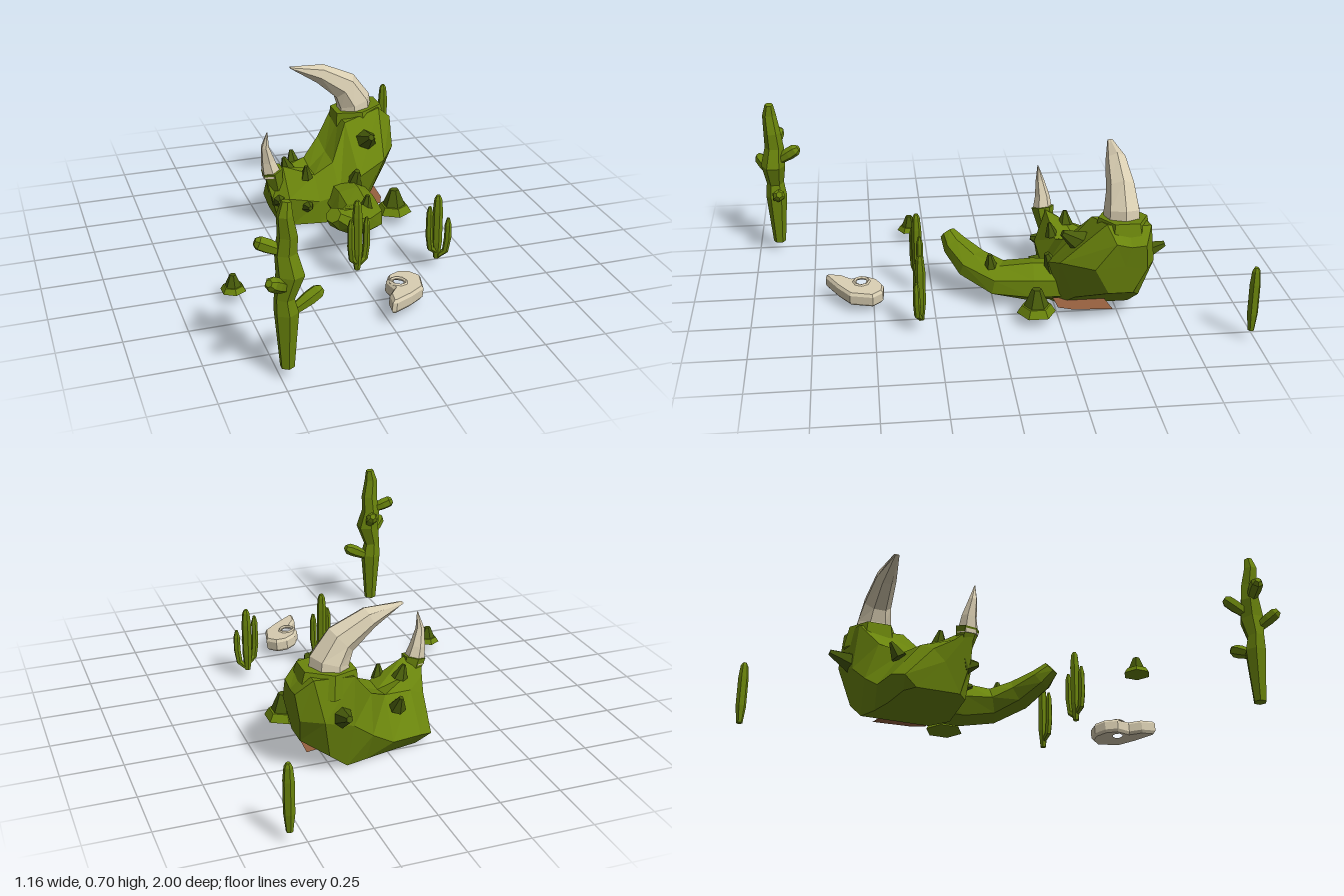
import * as THREE from 'three';

const V = (x, y, z) => new THREE.Vector3(x, y, z);

export function createModel() {
  const group = new THREE.Group();
  const mat = (name, color) => Object.assign(new THREE.MeshStandardMaterial({ color }), { name });
  const green = mat('moss green', 0x6a840c);
  const darkGreen = mat('dark moss green', 0x485c0a);
  const bone = mat('bone', 0xd8cdb1);
  const clay = mat('clay brown', 0x96603f);
  clay.side = THREE.DoubleSide;

  function add(name, geometry, material, parent = group) {
    const g = geometry.index ? geometry.toNonIndexed() : geometry;
    g.computeVertexNormals(); // faceted
    const mesh = new THREE.Mesh(g, material);
    mesh.name = name;
    parent.add(mesh);
    return mesh;
  }

  // Joins rings of points into a closed solid, turned so its faces look outward
  function loft(rings) {
    const tris = [];
    const n = rings[0].length;
    for (let i = 0; i < rings.length - 1; i++)
      for (let j = 0; j < n; j++) {
        const k = (j + 1) % n;
        const [a, b, c, d] = [rings[i][j], rings[i][k], rings[i + 1][k], rings[i + 1][j]];
        tris.push([a, b, c], [a, c, d]);
      }
    const cap = (ring, flip) => {
      const m = ring.reduce((s, p) => s.add(p), V(0, 0, 0)).divideScalar(n);
      ring.forEach((p, j) => {
        const q = ring[(j + 1) % n];
        tris.push(flip ? [m, q, p] : [m, p, q]);
      });
    };
    cap(rings[0], true);
    cap(rings[rings.length - 1], false);
    const volume = tris.reduce((s, [a, b, c]) => s + a.dot(b.clone().cross(c)), 0);
    const pos = tris.flatMap(([a, b, c]) => (volume < 0 ? [a, c, b] : [a, b, c]));
    return new THREE.BufferGeometry().setFromPoints(pos);
  }

  // Sweeps an ellipse along stations [x, y, z, half width, half depth]
  function sweep(stations, sides, ref = V(0, 0, 1)) {
    const pts = stations.map((s) => V(s[0], s[1], s[2]));
    return loft(stations.map((s, i) => {
      const t = pts[Math.min(i + 1, pts.length - 1)].clone().sub(pts[Math.max(i - 1, 0)]).normalize();
      const u = ref.clone().cross(t).normalize();
      const w = t.clone().cross(u);
      return Array.from({ length: sides }, (_, j) => {
        const a = ((j + 0.5) / sides) * Math.PI * 2;
        return pts[i].clone().addScaledVector(u, Math.cos(a) * s[3]).addScaledVector(w, Math.sin(a) * (s[4] ?? s[3]));
      });
    }));
  }

  // Saddle-shaped body; each section runs over the top from lower front to lower back
  // [x low, x front, x back, y low, y front, y back, z low, z mid, z top front, z top back, z back, back bulge height]
  const sections = [
    [-0.18, -0.25, -0.2, 0.005, 0.27, 0.17, -0.27, -0.24, -0.24, -0.39, -0.5, 0.25],
    [-0.13, -0.16, -0.13, 0.005, 0.28, 0.21, -0.23, -0.21, -0.26, -0.42, -0.535, 0.3],
    [0.0, -0.01, -0.01, 0.0, 0.21, 0.225, -0.22, -0.22, -0.28, -0.45, -0.555, 0.3],
    [0.1, 0.08, 0.08, 0.0, 0.25, 0.285, -0.21, -0.22, -0.3, -0.53, -0.58, 0.45],
    [0.19, 0.17, 0.17, 0.005, 0.39, 0.4, -0.27, -0.22, -0.4, -0.59, -0.61, 0.5],
    [0.27, 0.34, 0.34, 0.075, 0.43, 0.42, -0.32, -0.25, -0.43, -0.61, -0.635, 0.5],
    [0.375, 0.405, 0.405, 0.14, 0.37, 0.36, -0.44, -0.38, -0.46, -0.58, -0.59, 0.5],
  ];
  add('body', loft(sections.map(([xl, xf, xb, yl, yf, yb, zl, zm, zf, zt, zb, h]) => [
    V(xl, yl, zl), V((xl + xf) / 2, (yl + yf) / 2, zm), V(xf, yf, zf),
    V((xf + xb) / 2, (yf + yb) / 2 - 0.01, (zf + zt) / 2), V(xb, yb, zt),
    V((xl + xb) / 2, yl + (yb - yl) * h, zb), V(xl, yl, zb + 0.05),
  ])), green);

  // Upturned tail
  add('tail', sweep([
    [0.13, 0.09, -0.34, 0.1, 0.08], [0.13, 0.095, -0.16, 0.1, 0.09], [0.12, 0.105, -0.02, 0.1, 0.07],
    [0.05, 0.145, 0.08, 0.085, 0.06], [-0.03, 0.195, 0.145, 0.06, 0.045], [-0.068, 0.235, 0.175, 0.034, 0.034],
  ], 7, V(0, 1, 0)), green);

  // Horns and the collars they grow from
  add('largeHorn', sweep([
    [0.25, 0.36, -0.51, 0.085, 0.08], [0.245, 0.45, -0.51, 0.08, 0.075], [0.2, 0.525, -0.51, 0.068, 0.06],
    [0.085, 0.597, -0.51, 0.045, 0.045], [-0.05, 0.638, -0.51, 0.003, 0.012],
  ], 7), bone);
  add('largeHornCollar', sweep([[0.265, 0.33, -0.51, 0.14, 0.12], [0.255, 0.425, -0.51, 0.12, 0.1]], 6), green);
  add('smallHorn', sweep([
    [-0.212, 0.25, -0.255, 0.045], [-0.228, 0.32, -0.255, 0.032], [-0.242, 0.39, -0.245, 0.018], [-0.234, 0.46, -0.235, 0.002],
  ], 6), bone);
  add('smallHornCollar', sweep([[-0.19, 0.18, -0.265, 0.03], [-0.212, 0.275, -0.255, 0.05]], 6), green);

  // Blunt thorns: position, direction, radius, height
  const thorns = [
    [[0.25, 0.32, -0.335], [0, 0.6, 1], 0.056, 0.1], [[-0.18, 0.13, -0.245], [-0.2, 0.2, 1], 0.042, 0.06],
    [[-0.06, 0.09, -0.23], [0, 0.2, 1], 0.036, 0.07], [[0.16, 0.15, -0.25], [0.1, 1, 0.4], 0.05, 0.11],
    [[-0.05, 0.22, -0.27], [-0.1, 1, 0.2], 0.03, 0.06], [[-0.12, 0.24, -0.34], [-0.3, 1, 0], 0.035, 0.06],
    [[-0.05, 0.19, -0.49], [0, 1, -0.6], 0.035, 0.07], [[0.23, 0.25, -0.605], [0, 0.35, -1], 0.053, 0.12],
    [[0.13, 0.16, 0.01], [0.1, 1, 0.1], 0.036, 0.08],
  ];
  for (const [p, d, r, h] of thorns) {
    const thorn = add('thorn', new THREE.CylinderGeometry(r * 0.25, r, h, 6).translate(0, h * 0.3, 0), darkGreen);
    thorn.position.set(...p);
    thorn.quaternion.setFromUnitVectors(V(0, 1, 0), V(...d).normalize());
  }

  // Thin clay patch beneath the overhang
  const patch = new THREE.Shape([[0.2, -0.24], [0.29, -0.25], [0.315, -0.31], [0.325, -0.47], [0.22, -0.45]]
    .map(([x, z]) => new THREE.Vector2(x, -z)));
  add('clayPatch', new THREE.ShapeGeometry(patch).rotateX(-Math.PI / 2).translate(0, 0.042, 0), clay);

  // Low bushes: a broad base round a dark cone
  for (const [x, z, s] of [[-0.53, 0.32, 0.053], [0.32, -0.155, 0.08]]) {
    const bush = new THREE.Group();
    bush.name = 'bush';
    bush.position.set(x, 0.045, z);
    group.add(bush);
    add('bushBase', new THREE.CylinderGeometry(s * 0.75, s, s * 0.4, 6).translate(0, s * 0.2, 0), green, bush);
    add('bushCone', new THREE.CylinderGeometry(s * 0.25, s * 0.68, s, 6).translate(0, s * 0.8, 0), darkGreen, bush);
  }

  // Slim cactus column
  const column = (name, x, z, top, r) => add(name, sweep([
    [x, 0.045, z, r * 0.6], [x, 0.12, z, r], [x, top - 0.07, z, r], [x, top - 0.015, z, r * 0.75], [x, top, z, r * 0.4],
  ], 6), green);
  column('loneCactus', 0.56, -0.98, 0.32, 0.022);

  // Slim cacti with two upturned arms: x, z, top, then [dx, dz, low, high] per arm
  for (const [x, z, top, arms] of [
    [-0.01, 0.31, 0.355, [[-0.032, 0.015, 0.1, 0.28], [0.043, -0.01, 0.09, 0.27]]],
    [0.335, 0.315, 0.33, [[-0.04, 0.012, 0.1, 0.29], [0.04, 0.018, 0.08, 0.23]]],
  ]) {
    column('armedCactus', x, z, top, 0.021);
    for (const [dx, dz, low, high] of arms)
      add('cactusArm', sweep([
        [x, low - 0.03, z, 0.01], [x + dx * 0.8, low, z + dz * 0.8, 0.014], [x + dx, low + 0.06, z + dz, 0.015],
        [x + dx, high - 0.03, z + dz, 0.014], [x + dx, high, z + dz, 0.006],
      ], 6), green);
  }

  // Tall crooked cactus with four stubby arms
  add('tallCactus', sweep([
    [-0.475, 0.045, 0.91, 0.027], [-0.475, 0.27, 0.91, 0.046], [-0.482, 0.33, 0.912, 0.038], [-0.46, 0.42, 0.915, 0.053],
    [-0.472, 0.5, 0.905, 0.042], [-0.467, 0.57, 0.91, 0.037], [-0.478, 0.65, 0.918, 0.03], [-0.47, 0.7, 0.915, 0.018],
  ], 6), green);
  for (const [y, x2, y2, z2] of [[0.26, -0.345, 0.325, 0.89], [0.36, -0.55, 0.43, 0.98], [0.5, -0.57, 0.545, 0.885], [0.43, -0.445, 0.5, 0.805]]) {
    const at = (t, r) => [-0.465 + (x2 + 0.465) * t, y + (y2 - y) * t, 0.91 + (z2 - 0.91) * t, r];
    add('tallCactusArm', sweep([at(0, 0.018), at(0.65, 0.028), at(0.93, 0.027), at(1.06, 0.014)], 6, V(0, 1, 0)), green);
  }

  // Flat beaked skull with a rimmed eye hole
  const skull = new THREE.Shape([[0.1, 0.46], [0.145, 0.465], [0.177, 0.505], [0.155, 0.595], [0.09, 0.645],
    [0.012, 0.692], [0, 0.69], [0.008, 0.635], [0.042, 0.59], [0.03, 0.53], [0.055, 0.485]].map(([x, z]) => new THREE.Vector2(x, -z)));
  skull.holes.push(new THREE.Path().absarc(0.07, -0.548, 0.026, 0, Math.PI * 2, true));
  const skullGeo = new THREE.ExtrudeGeometry(skull, {
    depth: 0.035, bevelEnabled: true, bevelThickness: 0.012, bevelSize: 0.008, bevelOffset: -0.004, bevelSegments: 1, curveSegments: 4,
  });
  const skullGroup = new THREE.Group();
  skullGroup.name = 'skull';
  skullGroup.rotation.z = -0.1;
  group.add(skullGroup);
  add('skullPlate', skullGeo.rotateX(-Math.PI / 2).translate(0, 0.06, 0), bone, skullGroup);
  add('eyeRim', new THREE.TorusGeometry(0.032, 0.008, 4, 8).rotateX(Math.PI / 2).translate(0.07, 0.105, 0.548), bone, skullGroup);
  return group;
}
